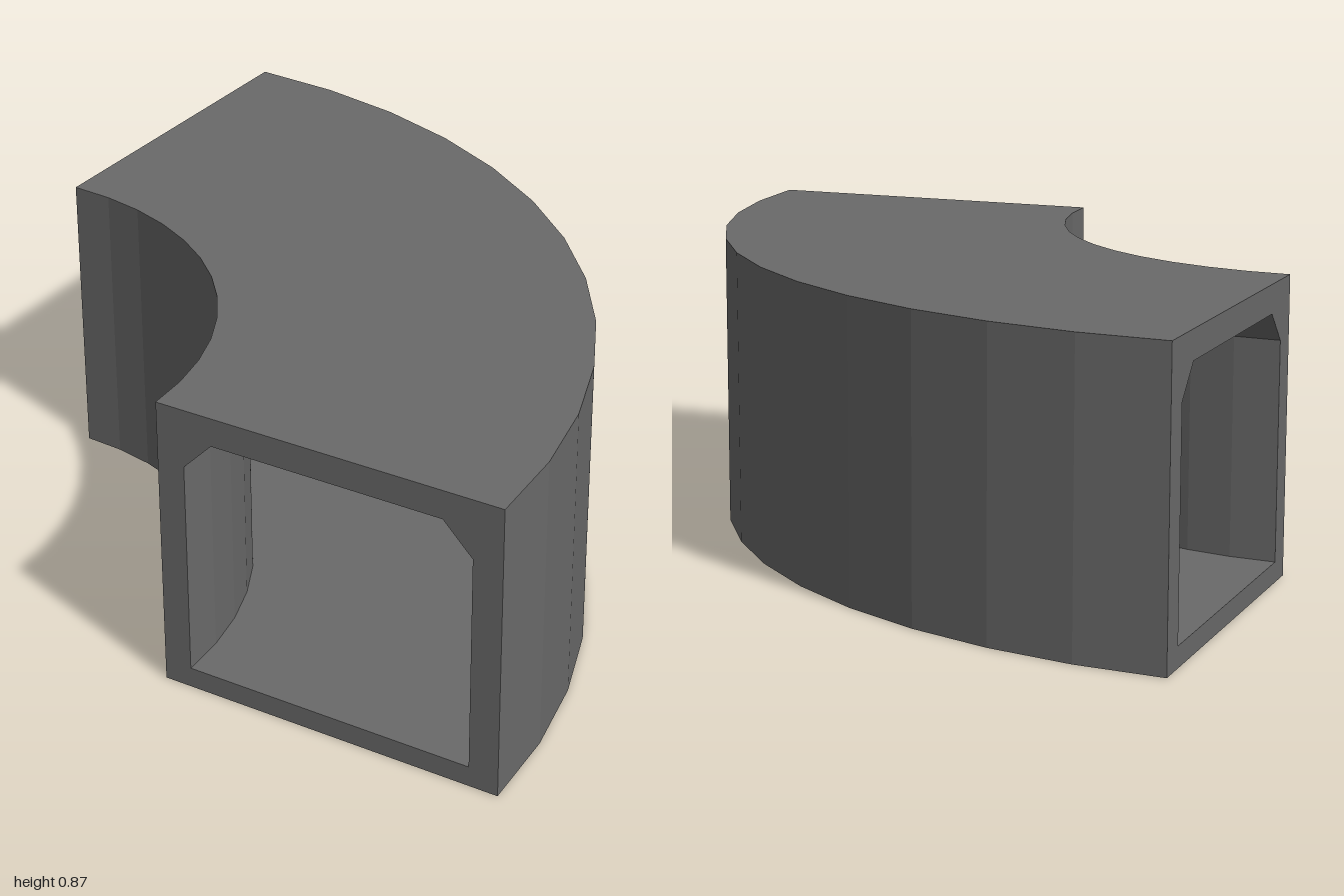
import * as THREE from 'three';

const SEGMENTS = 12;
const HEIGHT = 0.867;

// Cross-sections as [radius from the bend centre, height], counter-clockwise
const OUTER = [[0.96, 0], [2, 0], [2, HEIGHT], [0.96, HEIGHT]];
const BORE = [[1.043, 0.06], [1.913, 0.06], [1.913, 0.695], [1.825, 0.784], [1.131, 0.784], [1.043, 0.695]];

const toPoints = (profile, sign = 1) => profile.map(([r, y]) => new THREE.Vector2(r * sign, y));

export function createModel() {
  const material = new THREE.MeshStandardMaterial({ color: 0x6a6a6a, flatShading: true });
  const duct = new THREE.Group();
  duct.name = 'curvedDuct';

  const add = (name, geometry) => {
    const mesh = new THREE.Mesh(geometry, material);
    mesh.name = name;
    duct.add(mesh);
    return mesh;
  };

  // Sweep a closed profile through the quarter turn
  const sweep = (profile) => {
    const points = toPoints(profile);
    points.push(points[0].clone());
    return new THREE.LatheGeometry(points, SEGMENTS, Math.PI / 2, Math.PI / 2);
  };
  add('outerShell', sweep(OUTER));
  add('innerChannel', sweep([...BORE].reverse()));

  // Flat rim closing the wall thickness at each end
  const rim = (sign) => {
    const shape = new THREE.Shape(toPoints(OUTER, sign));
    shape.holes.push(new THREE.Path(toPoints(BORE, sign)));
    return new THREE.ShapeGeometry(shape);
  };
  add('frontRim', rim(1));
  add('sideRim', rim(-1)).rotation.y = -Math.PI / 2;

  // Move the bend centre to the corner so the bounds are centred
  duct.children.forEach((part) => part.position.set(-1, 0, 1));
  return duct;
}
